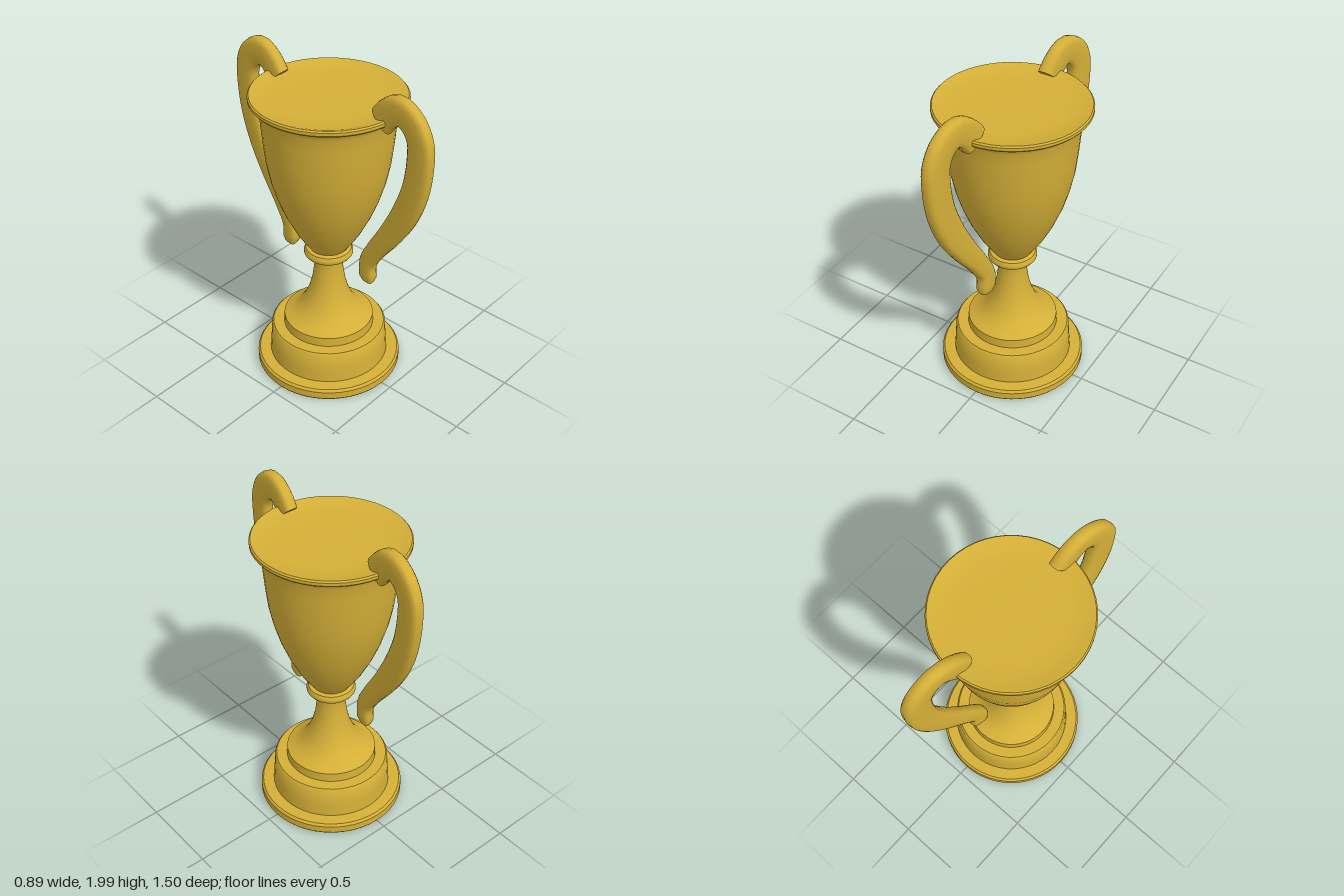
import * as THREE from 'three';
import { toCreasedNormals } from 'three/addons/utils/BufferGeometryUtils.js';

const gold = new THREE.MeshStandardMaterial({ color: 0xd4af37 });
gold.name = 'gold';

// Turned part from [radius, height] pairs, listed from the bottom up
function turned(name, profile) {
  const points = profile.map(([r, y]) => new THREE.Vector2(r, y));
  const geometry = toCreasedNormals(new THREE.LatheGeometry(points, 48), 0.6);
  const mesh = new THREE.Mesh(geometry, gold);
  mesh.name = name;
  return mesh;
}

// Handle: rounded-rectangle sections swept along a curve in the z-y plane
function handleGeometry() {
  const centre = new THREE.CatmullRomCurve3([
    [0.383, 1.808], [0.44, 1.875], [0.515, 1.912], [0.605, 1.875], [0.66, 1.79], [0.668, 1.68],
    [0.645, 1.5], [0.58, 1.32], [0.48, 1.14], [0.36, 0.96], [0.302, 0.85], [0.304, 0.72],
  ].map(([z, y]) => new THREE.Vector3(0, y, z)));
  const steps = 48, sides = 16;
  const positions = [], index = [];
  const power = (v) => Math.sign(v) * Math.abs(v) ** 0.6;
  for (let i = 0; i <= steps; i++) {
    const t = i / steps;
    const p = centre.getPointAt(t), d = centre.getTangentAt(t);
    const tip = i === steps ? 0.7 : 1; // slightly bevelled lower end
    const depth = (0.083 - 0.028 * THREE.MathUtils.smoothstep(t, 0.5, 0.95)) * tip;
    const width = (0.043 - 0.006 * t) * tip;
    for (let j = 0; j < sides; j++) {
      const a = (j / sides) * Math.PI * 2;
      const u = power(Math.cos(a)) * width, v = power(Math.sin(a)) * depth;
      const z = p.z + d.y * v;
      // The handle plane leans sideways as it leaves the bowl
      positions.push(u - 0.13 * (z - 0.33), p.y - d.z * v, z);
    }
  }
  for (let i = 0; i < steps; i++) {
    for (let j = 0; j < sides; j++) {
      const a = i * sides + j, b = i * sides + (j + 1) % sides;
      index.push(a, a + sides, b, b, a + sides, b + sides);
    }
  }
  // End caps
  const last = steps * sides;
  for (let j = 1; j < sides - 1; j++) {
    index.push(0, j, j + 1, last, last + j + 1, last + j);
  }
  const geometry = new THREE.BufferGeometry();
  geometry.setAttribute('position', new THREE.Float32BufferAttribute(positions, 3));
  geometry.setIndex(index);
  return toCreasedNormals(geometry, 0.8);
}

export function createModel() {
  const model = new THREE.Group();
  model.name = 'trophyCup';

  model.add(
    turned('baseFoot', [[0, 0], [0.435, 0], [0.442, 0.01], [0.442, 0.055], [0.43, 0.07], [0.34, 0.075]]),
    turned('basePlinth', [[0.363, 0.07], [0.358, 0.15], [0.35, 0.262], [0.34, 0.275], [0.25, 0.278]]),
    turned('stem', [
      [0.275, 0.275], [0.272, 0.335], [0.225, 0.36], [0.185, 0.395], [0.15, 0.445], [0.118, 0.52],
      [0.098, 0.6], [0.087, 0.68], [0.084, 0.74], [0.09, 0.78],
    ]),
    turned('collar', [
      [0.084, 0.75], [0.105, 0.765], [0.138, 0.778], [0.146, 0.79], [0.146, 0.805],
      [0.136, 0.824], [0.115, 0.832], [0.1, 0.834],
    ]),
    turned('bowl', [
      [0.11, 0.825], [0.145, 0.875], [0.19, 0.945], [0.25, 1.065], [0.295, 1.18], [0.33, 1.3],
      [0.354, 1.42], [0.368, 1.55], [0.378, 1.67], [0.385, 1.75], [0.394, 1.78], [0.41, 1.797],
    ]),
    turned('rimAndTop', [
      [0.385, 1.785], [0.41, 1.794], [0.435, 1.8], [0.443, 1.81], [0.443, 1.828], [0.435, 1.837],
      [0.42, 1.835], [0.39, 1.824], [0.3, 1.818], [0, 1.815],
    ]),
  );

  // Two handles, half a turn apart
  const geometry = handleGeometry();
  ['frontHandle', 'backHandle'].forEach((name, i) => {
    const handle = new THREE.Mesh(geometry, gold);
    handle.name = name;
    handle.rotation.y = i * Math.PI;
    model.add(handle);
  });
  return model;
}
